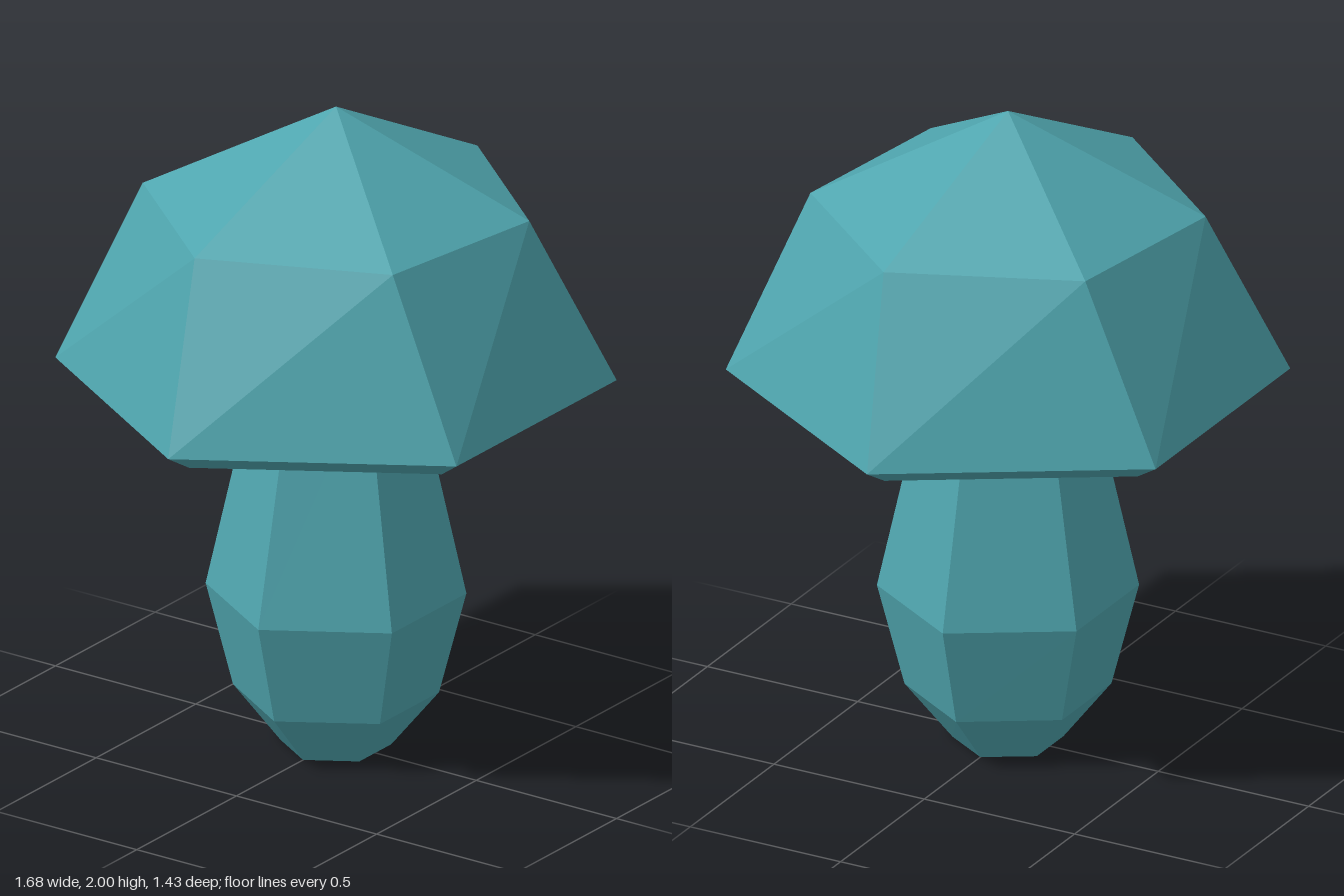
import * as THREE from 'three';

// Six-sided ring, symmetric in x and z: a = side corner, (b, c) = front and back corners
const hex = (y, a, b, c) => [
  [a, y, 0], [b, y, c], [-b, y, c], [-a, y, 0], [-b, y, -c], [b, y, -c],
];
// Ring with half-turn symmetry, from three corners
const twisted = (y, corners) => [
  ...corners.map(([x, z]) => [x, y, z]),
  ...corners.map(([x, z]) => [-x, y, -z]),
];
// Ring collapsed to one point on the axis
const tip = (y) => Array.from({ length: 6 }, () => [0, y, 0]);

// Skin a stack of rings with faceted triangles
function loft(rings) {
  const pos = [];
  const same = (p, q) => p.every((v, k) => v === q[k]);
  const tri = (p, q, r) => {
    if (!same(p, q) && !same(q, r) && !same(p, r)) pos.push(...p, ...q, ...r);
  };
  for (let k = 0; k < rings.length - 1; k++) {
    const low = rings[k], high = rings[k + 1];
    for (let i = 0; i < 6; i++) {
      const j = (i + 1) % 6;
      tri(low[i], high[i], low[j]);
      tri(high[i], high[j], low[j]);
    }
  }
  const geometry = new THREE.BufferGeometry();
  geometry.setAttribute('position', new THREE.Float32BufferAttribute(pos, 3));
  geometry.computeVertexNormals();
  return geometry;
}

export function createModel() {
  const group = new THREE.Group();
  group.name = 'mushroom';
  const teal = new THREE.MeshStandardMaterial({ color: 0x4fa5ae });
  teal.name = 'teal';
  teal.flatShading = true;

  // Stem: narrow foot, bulging lower third, tapering into the cap
  const stem = new THREE.Mesh(loft([
    tip(0),
    hex(0, 0.165, 0.08, 0.14),
    hex(0.17, 0.31, 0.148, 0.262),
    hex(0.485, 0.39, 0.187, 0.332),
    hex(1.225, 0.225, 0.108, 0.19),
  ]), teal);
  stem.name = 'stem';

  // Cap: shallow hollow underside, bevelled rim, sloping sides and a turned crown
  const cap = new THREE.Mesh(loft([
    tip(1.24),
    hex(1.113, 0.738, 0.353, 0.628),
    hex(1.175, 0.842, 0.402, 0.715),
    twisted(1.7, [[0.587, 0.087], [0.207, 0.542], [-0.357, 0.456]]),
    tip(2),
  ]), teal);
  cap.name = 'cap';

  group.add(stem, cap);
  return group;
}
